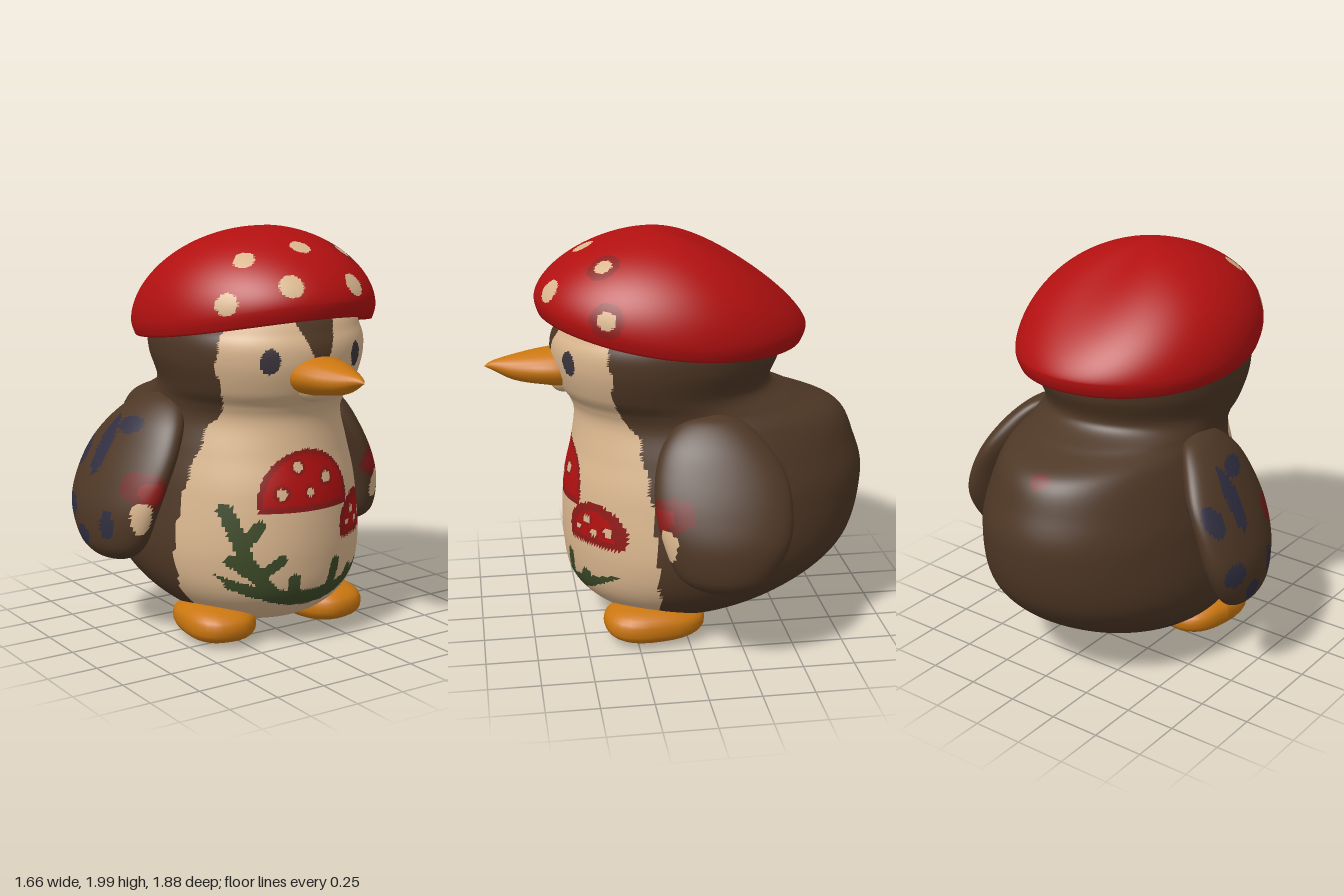
import * as THREE from 'three';

const mat = (name, color) => {
  const m = new THREE.MeshStandardMaterial({ color });
  m.name = name;
  return m;
};
const RED = 0, DARK_RED = 1, CREAM = 2, BROWN = 3, ORANGE = 4, EYE = 5, GREEN = 6, BLUE = 7, RUST = 8;

// Closed-around grid surface; point(u, a) with a = 0 at the front, u running upwards
function skin(rows, cols, point, frontBias = 0) {
  const pos = [], idx = [];
  for (let i = 0; i <= rows; i++) {
    for (let j = 0; j < cols; j++) {
      const t = (j / cols) * Math.PI * 2;
      pos.push(...point(i / rows, t - frontBias * Math.sin(t)));
    }
  }
  for (let i = 0; i < rows; i++) {
    for (let j = 0; j < cols; j++) {
      const k = (j + 1) % cols, p = i * cols, s = p + cols;
      idx.push(p + j, p + k, s + k, p + j, s + k, s + j);
    }
  }
  const g = new THREE.BufferGeometry();
  g.setAttribute('position', new THREE.Float32BufferAttribute(pos, 3));
  g.setIndex(idx);
  g.computeVertexNormals();
  return g;
}

// Smooth loft through oval sections [y, centreX, halfWidth, zFront, zBack]
function loft(keys, rows, cols, frontBias, shear = 0) {
  const spline = f => new THREE.CatmullRomCurve3(keys.map(f), false, 'catmullrom', 0.5);
  const a1 = spline(k => new THREE.Vector3(k[0], k[1], k[2]));
  const a2 = spline(k => new THREE.Vector3(k[3], k[4], 0));
  return skin(rows, cols, (u, a) => {
    const p = a1.getPoint(u), q = a2.getPoint(u);
    const dz = ((q.x - q.y) / 2) * Math.cos(a);
    return [p.y + Math.max(p.z, 0) * Math.sin(a) + shear * dz, p.x, (q.x + q.y) / 2 + dz];
  }, frontBias);
}

// Split the faces of a surface into colour groups by a rule on the face centre
function paint(geo, rule) {
  const p = geo.attributes.position, src = geo.index.array, lists = [];
  for (let i = 0; i < src.length; i += 3) {
    const t = [src[i], src[i + 1], src[i + 2]];
    const mid = f => (f(t[0]) + f(t[1]) + f(t[2])) / 3;
    const c = rule(mid(n => p.getX(n)), mid(n => p.getY(n)), mid(n => p.getZ(n)));
    (lists[c] ||= []).push(...t);
  }
  const out = [];
  lists.forEach((l, c) => {
    geo.addGroup(out.length, l.length, c);
    for (const n of l) out.push(n);
  });
  geo.setIndex(out);
  return geo;
}

const oval = (x, y, cx, cy, rx, ry) => ((x - cx) / rx) ** 2 + ((y - cy) / ry) ** 2;
const nearSegment = (x, y, [x1, y1, x2, y2, r]) => {
  const dx = x2 - x1, dy = y2 - y1;
  const t = THREE.MathUtils.clamp(((x - x1) * dx + (y - y1) * dy) / (dx * dx + dy * dy), 0, 1);
  return Math.hypot(x - x1 - t * dx, y - y1 - t * dy) < r;
};

// Toadstool cap with pale dots, painted on the belly
function toadstool(x, y, m) {
  const e = oval(x, y, m.x, m.y, m.rx, m.ry);
  if (e > 1 || y < m.base) return -1;
  const d = Math.min(...m.dots.map(([a, b, r]) => Math.hypot(x - a, y - b) / r));
  if (d < 1) return CREAM;
  return d < 1.6 || e > m.rim || y < m.base + 0.03 ? DARK_RED : RED;
}
const bigCap = { x: -0.02, y: 0.73, rx: 0.245, ry: 0.25, base: 0.69, rim: 0.82,
  dots: [[-0.07, 0.9, 0.024], [0.08, 0.84, 0.027], [-0.16, 0.78, 0.026], [-0.02, 0.78, 0.02]] };
const smallCap = { x: 0.31, y: 0.585, rx: 0.145, ry: 0.145, base: 0.52, rim: 0.5,
  dots: [[0.28, 0.64, 0.019], [0.385, 0.6, 0.019], [0.23, 0.59, 0.016], [0.32, 0.58, 0.016]] };
const vines = [
  [-0.38, 0.7, -0.31, 0.45, 0.03], [-0.31, 0.45, -0.2, 0.3, 0.03], [-0.33, 0.53, -0.26, 0.63, 0.027],
  [-0.27, 0.38, -0.17, 0.46, 0.027], [-0.3, 0.4, -0.37, 0.46, 0.025], [-0.36, 0.34, -0.25, 0.29, 0.025],
  [-0.09, 0.28, -0.1, 0.36, 0.03], [0.11, 0.28, 0.14, 0.41, 0.03], [0.22, 0.29, 0.26, 0.35, 0.025],
];

// Front limit of the pale area: [y, z]
const edge = [[0, 0.13], [0.8, 0.19], [1.08, 0.24], [1.22, 0.35], [1.5, 0.38], [1.8, 0.44]];
function paleEdge(y) {
  const i = Math.max(1, edge.findIndex(e => e[0] > y));
  const [a, b] = [edge[i - 1], edge[i]];
  return THREE.MathUtils.mapLinear(y, a[0], b[0], a[1], b[1]);
}

function bodyRule(x, y, z) {
  if (z < paleEdge(y) + 0.008 * Math.sin(y * 40)) {
    if (Math.hypot(x + 0.05, z + 0.82, y - 1.1) < 0.05) return RUST;
    return z < -0.1 && oval(x, z, -0.3, -0.3, 0.16, 0.07) < 1 && y < 0.3 ? BLUE : BROWN;
  }
  if (y > 1.17) {
    if (oval(Math.abs(x), y, 0.24, 1.415, 0.04, 0.06) < 1) return EYE;
    return y > 1.4 && Math.abs(x) < 0.04 + 0.4 * (y - 1.42) ? BROWN : CREAM;
  }
  for (const cap of [bigCap, smallCap]) {
    const c = toadstool(x, y, cap);
    if (c >= 0) return c;
  }
  const meadow = y > 0.21 + 0.95 * x * x && y < 0.3 + 0.5 * x * x && Math.abs(x) < 0.42;
  return meadow || vines.some(v => nearSegment(x, y, v)) ? GREEN : CREAM;
}

function wingRule(x, y, z) {
  const ax = Math.abs(x);
  if (z > 0.02) {
    if (oval(ax, y, 0.69, 0.65, 0.043, 0.08) < 1) return CREAM;
    if (oval(ax, y, 0.66, 0.78, 0.085, 0.09) < 1) return oval(ax, y, 0.65, 0.77, 0.05, 0.05) < 1 ? DARK_RED : RUST;
  }
  const patches = [[-0.2, 0.95, 0.05, 0.14], [-0.37, 0.9, 0.05, 0.07], [-0.33, 0.64, 0.06, 0.06],
    [-0.2, 0.52, 0.05, 0.05], [-0.02, 0.6, 0.04, 0.07], [-0.08, 1.06, 0.08, 0.04]];
  return x < -0.6 + 0.25 * (y - 0.4) && patches.some(([a, b, r, s]) => oval(z, y, a, b, r, s) < 1) ? BLUE : BROWN;
}

// Pale cap spots [x, y, z, hasHalo], compared by direction from inside the cap
const hatCentre = new THREE.Vector3(0, 1.55, 0.05);
const spots = [[-0.27, 1.85, 0.38], [-0.01, 1.92, 0.45], [0.27, 1.87, 0.37, 1], [-0.17, 1.76, 0.61],
  [0.17, 1.75, 0.62], [-0.42, 1.68, 0.46], [0.45, 1.67, 0.38, 1]]
  .map(([x, y, z, halo]) => ({ dir: new THREE.Vector3(x, y, z).sub(hatCentre).normalize(), halo }));
function hatRule(x, y, z) {
  const d = new THREE.Vector3(x, y, z).sub(hatCentre).normalize();
  for (const s of spots) {
    const angle = d.angleTo(s.dir);
    if (angle < (s.halo ? 0.075 : 0.09)) return CREAM;
    if (s.halo && angle < 0.14) return DARK_RED;
  }
  return RED;
}

// Domed cap, higher at the front, with a rolled rim and closed underside
function hatPoint(u, a) {
  const c = Math.cos(a), rim = 1.56 + 0.075 * c + 0.045 * c * c;
  const power = c > 0 ? 2 - 0.3 * c * c : 2 - 0.6 * c * c;
  let r, y;
  if (u < 0.1) {
    r = 0.72 + 2.5 * u;
    y = rim - 0.04 - 0.3 * u;
  } else if (u < 0.16) {
    const t = (u - 0.1) / 0.06;
    r = 0.97 + 0.03 * Math.sin(t * Math.PI / 2);
    y = rim - 0.07 * (1 - t);
  } else {
    r = Math.sin(((1 - u) / 0.84) * Math.PI / 2);
    y = rim + (2 - rim) * Math.max(0, 1 - r ** power) ** (1 / power);
  }
  return [0.565 * r * Math.sin(a), y, 0.03 + 0.66 * r * c + 0.1 * (1 - r)];
}

export function createModel() {
  const mats = [mat('red', 0xb21010), mat('darkRed', 0x8c1a18), mat('cream', 0xdab68e), mat('brown', 0x4e3725),
    mat('orange', 0xcb7710), mat('eyeGrey', 0x3c353c), mat('green', 0x3d4a28), mat('blue', 0x302e40), mat('rust', 0x6e221b)];
  const group = new THREE.Group();
  const add = (name, geo, material) => {
    const mesh = new THREE.Mesh(geo, material);
    mesh.name = name;
    group.add(mesh);
    return mesh;
  };

  // Body and head in one skin
  const body = [[0.09, 0, 0, 0.02, 0.02], [0.1, 0, 0.28, 0.32, -0.28], [0.24, 0, 0.49, 0.52, -0.62],
    [0.45, 0, 0.585, 0.575, -0.86], [0.75, 0, 0.565, 0.57, -0.935], [0.95, 0, 0.52, 0.53, -0.89],
    [1.1, 0, 0.47, 0.51, -0.81], [1.18, 0, 0.45, 0.53, -0.61], [1.26, 0, 0.465, 0.58, -0.46],
    [1.4, 0, 0.505, 0.62, -0.5], [1.52, 0, 0.5, 0.6, -0.5], [1.65, 0, 0.42, 0.48, -0.4], [1.72, 0, 0, 0.05, 0.05]];
  add('body', paint(loft(body, 168, 180, 0.5), bodyRule), mats);

  // Toadstool hat
  add('hat', paint(skin(100, 160, hatPoint, 0.4), hatRule), mats);

  // Beak, lofted upright then tipped forward, with a pale chin below
  const beak = [[0.5, 0, 0, 0, 0], [0.54, 0, 0.14, 0.1, -0.08], [0.66, 0, 0.143, 0.095, -0.075],
    [0.8, 0, 0.085, 0.07, -0.05], [0.9, 0, 0.028, 0.02, -0.025], [0.94, 0, 0, 0, 0]];
  add('beak', loft(beak, 20, 20, 0).rotateX(Math.PI / 2).translate(0, 1.35, 0), mats[ORANGE]);
  add('chin', new THREE.SphereGeometry(1, 20, 14).scale(0.1, 0.07, 0.07).translate(0, 1.28, 0.56), mats[CREAM]);

  for (const side of [1, -1]) {
    const label = side > 0 ? 'left' : 'right';

    // Wings hang outwards from the shoulders
    const wing = [[0.4, 0.71, 0, -0.13, -0.13], [0.425, 0.71, 0.06, 0.0, -0.25], [0.5, 0.71, 0.105, 0.1, -0.34],
      [0.65, 0.695, 0.125, 0.16, -0.42], [0.8, 0.65, 0.12, 0.19, -0.44], [0.95, 0.58, 0.115, 0.18, -0.42],
      [1.08, 0.51, 0.1, 0.13, -0.34], [1.17, 0.45, 0.065, 0.03, -0.24], [1.2, 0.43, 0, -0.11, -0.11]]
      .map(k => [k[0], k[1] * side, ...k.slice(2)]);
    add(label + 'Wing', paint(loft(wing, 64, 64, 0, -0.15 * side), wingRule), mats);

    // Feet: rounded pads, lower at the heel
    const foot = new THREE.SphereGeometry(1, 28, 18), p = foot.attributes.position;
    const box = v => Math.sign(v) * Math.abs(v) ** 0.8;
    for (let i = 0; i < p.count; i++) {
      const z = p.getZ(i), y = box(p.getY(i));
      p.setXYZ(i, box(p.getX(i)) * 0.18, 0.105 + y * 0.095 * (z < 0 && y > 0 ? 1 + 0.35 * z : 1), box(z) * 0.25);
    }
    foot.computeVertexNormals();
    foot.rotateY(side * 0.15).translate(side * 0.305, 0, 0.16);
    add(label + 'Foot', foot, mats[ORANGE]);
  }
  return group;
}
